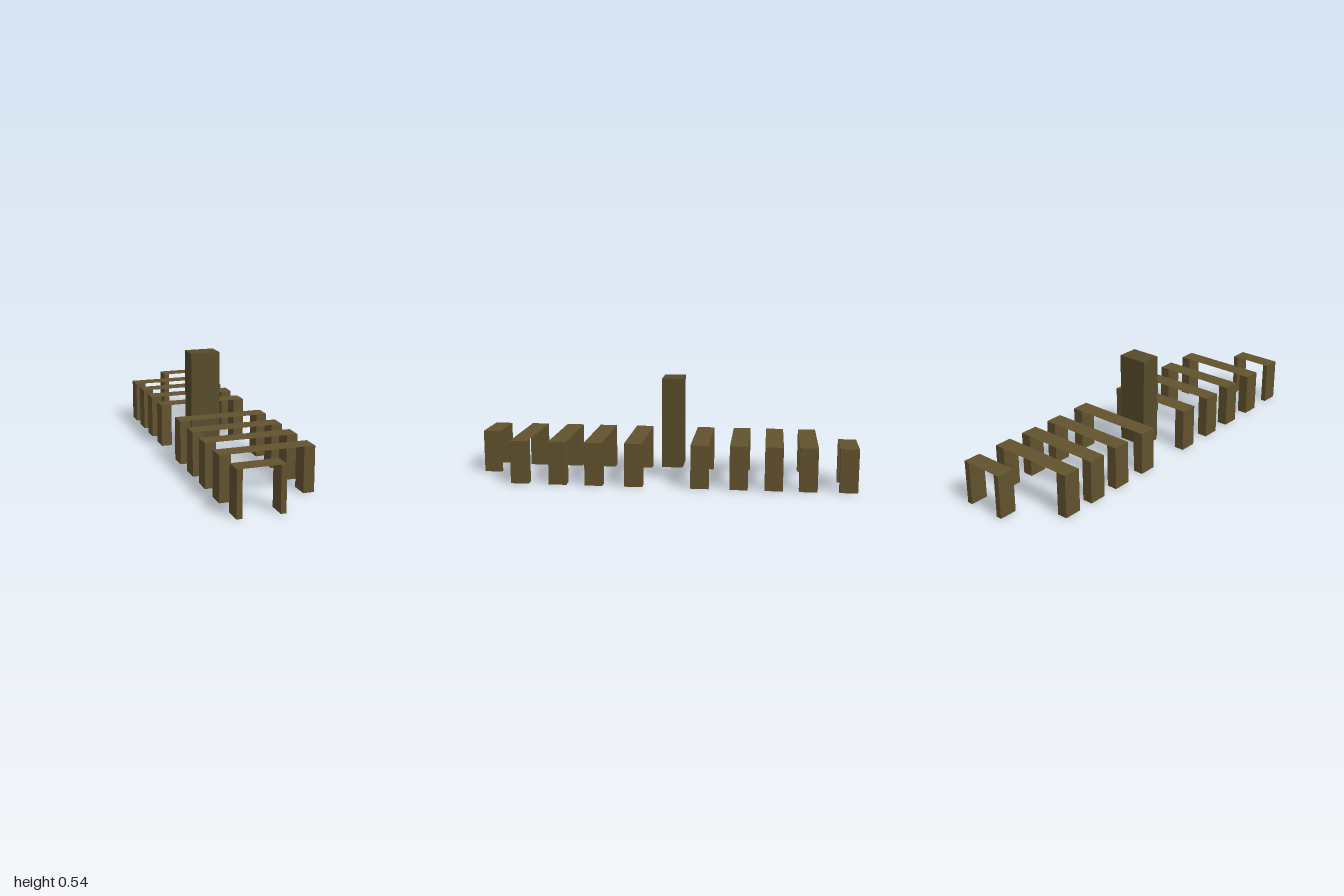
import * as THREE from 'three';

const HEIGHT = 0.227;
const DEPTH = 0.093;

export function createModel() {
  const model = new THREE.Group();
  const wood = new THREE.MeshStandardMaterial({ color: 0x62522e, side: THREE.DoubleSide });
  const darkWood = new THREE.MeshStandardMaterial({ color: 0x574b29 });

  // One arch: two solid legs joined by a paper-thin top sheet
  function addArch(name, x0, x1, z, legWidth) {
    const arch = new THREE.Group();
    arch.name = name;
    const legGeometry = new THREE.BoxGeometry(legWidth, HEIGHT, DEPTH);
    for (const [legName, x] of [['rightLeg', x0 + legWidth / 2], ['leftLeg', x1 - legWidth / 2]]) {
      const leg = new THREE.Mesh(legGeometry, wood);
      leg.name = legName;
      leg.position.set(x, HEIGHT / 2, 0);
      arch.add(leg);
    }
    const top = new THREE.Mesh(new THREE.PlaneGeometry(x1 - x0, DEPTH).rotateX(-Math.PI / 2), wood);
    top.name = 'topSheet';
    top.position.set((x0 + x1) / 2, HEIGHT, 0);
    arch.add(top);
    arch.position.z = z;
    model.add(arch);
  }

  // Wide arches in the middle of the row
  [0.742, 0.54, 0.35, 0.142, -0.2, -0.4, -0.578, -0.752].forEach((z, i) =>
    addArch(`wideArch${i + 1}`, -0.236, 0.235, z, 0.055));

  // Narrow arches at the ends, offset to opposite sides
  addArch('frontNarrowArch', -0.231, 0.003, 0.9535, 0.027);
  addArch('backNarrowArch', -0.005, 0.23, -0.9535, 0.03);

  // Floating upright block
  const block = new THREE.Mesh(new THREE.BoxGeometry(0.156, 0.477, 0.11), darkWood);
  block.name = 'uprightBlock';
  block.position.set(-0.042, 0.2985, -0.04);
  model.add(block);

  return model;
}
